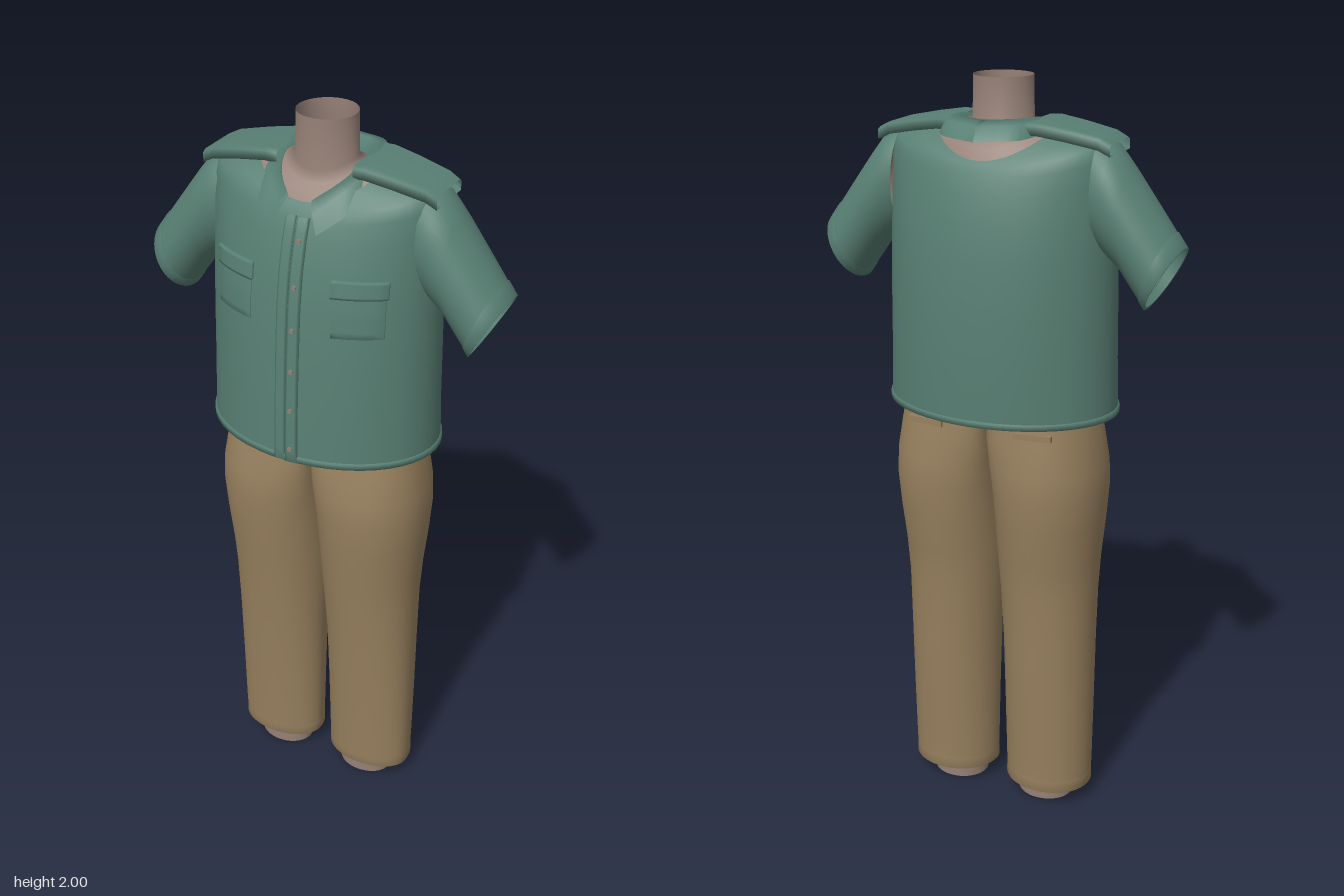
import * as THREE from 'three';

const V = (x, y, z) => new THREE.Vector3(x, y, z);
const lerp = THREE.MathUtils.lerp;
const SEG = 48;

function paint(name, color) {
  const m = new THREE.MeshStandardMaterial({ color, side: THREE.DoubleSide });
  m.name = name;
  return m;
}

// Skin a list of point rows; closed rows wrap around
function loft(rows, closed = true) {
  const n = rows[0].length, pos = [], idx = [];
  rows.forEach(r => r.forEach(p => pos.push(p.x, p.y, p.z)));
  for (let i = 0; i < rows.length - 1; i++) {
    for (let j = 0; j < (closed ? n : n - 1); j++) {
      const k = (j + 1) % n, a = i * n + j, b = i * n + k, c = a + n, d = b + n;
      idx.push(a, c, b, b, c, d);
    }
  }
  const g = new THREE.BufferGeometry();
  g.setAttribute('position', new THREE.Float32BufferAttribute(pos, 3));
  g.setIndex(idx);
  g.computeVertexNormals();
  return g;
}

const ring = fn => Array.from({ length: SEG }, (_, j) => {
  const t = j / SEG * Math.PI * 2;
  return fn(Math.cos(t), Math.sin(t));
});

// Body section: [yFront, yBack, ySide, halfWidth, zFront, zBack]
const bodyRing = ([yf, yb, ys, hx, zf, zb], grow = 0) => ring((c, s) =>
  V(c * (hx + grow), lerp(ys, s > 0 ? yf : yb, s * s), s * ((s > 0 ? zf : -zb) + grow)));

const shirtRings = [
  [1.16, 1.16, 1.16, 0.31, 0.222, -0.222],
  [1.3, 1.3, 1.3, 0.305, 0.217, -0.225],
  [1.45, 1.45, 1.45, 0.303, 0.208, -0.222],
  [1.58, 1.58, 1.58, 0.301, 0.197, -0.213],
  [1.67, 1.67, 1.67, 0.3, 0.182, -0.2],
  [1.74, 1.74, 1.755, 0.299, 0.163, -0.183],
  [1.78, 1.775, 1.82, 0.297, 0.148, -0.17],
  [1.8, 1.795, 1.858, 0.285, 0.137, -0.162],
  [1.81, 1.805, 1.875, 0.23, 0.13, -0.156],
  [1.818, 1.812, 1.887, 0.165, 0.124, -0.15],
];
const skinRings = [
  [1.8, 1.795, 1.87, 0.175, 0.127, -0.153],
  [1.835, 1.838, 1.885, 0.15, 0.108, -0.135],
  [1.85, 1.865, 1.888, 0.105, 0.085, -0.1],
  [1.875, 1.885, 1.895, 0.077, 0.07, -0.077],
  [2, 2, 2, 0.075, 0.07, -0.077],
];

// Height of the shirt front above the plane z = 0
function shirtFront(x, y) {
  let i = 0;
  while (i < shirtRings.length - 2 && shirtRings[i + 1][0] < y) i++;
  const a = shirtRings[i], b = shirtRings[i + 1];
  const t = (y - a[0]) / (b[0] - a[0]);
  const q = x / lerp(a[3], b[3], t);
  return lerp(a[4], b[4], t) * Math.sqrt(Math.max(0, 1 - q * q));
}

// Raised plate following the shirt front
function frontPatch(x0, x1, y0, y1, lift, n = 8) {
  const rows = [];
  for (let i = 0; i <= n + 2; i++) {
    const v = THREE.MathUtils.clamp((i - 1) / n, 0, 1), row = [];
    for (let j = 0; j <= 8; j++) {
      const u = THREE.MathUtils.clamp((j - 1) / 6, 0, 1);
      const edge = i === 0 || j === 0 || i === n + 2 || j === 8;
      const x = lerp(x0, x1, u), y = lerp(y0, y1, v);
      row.push(V(x, y, shirtFront(x, y) + (edge ? -0.003 : lift)));
    }
    rows.push(row);
  }
  return loft(rows, false);
}

// Leg section: [y, xInner, xOuter, zFront, zBack, inner flatness]
const legRings = [
  [1.2, 0, 0.255, 0.125, -0.155, 1], [1.1, 0, 0.275, 0.142, -0.165, 0.95],
  [1.02, 0, 0.288, 0.154, -0.173, 0.75], [0.95, 0, 0.291, 0.156, -0.175, 0.5],
  [0.86, 0, 0.285, 0.148, -0.166, 0.3], [0.75, 0, 0.275, 0.135, -0.15, 0.1],
  [0.65, 0.004, 0.27, 0.122, -0.137, 0], [0.5, 0.013, 0.268, 0.108, -0.133, 0],
  [0.3, 0.017, 0.268, 0.092, -0.122, 0], [0.12, 0.02, 0.267, 0.083, -0.112, 0],
  [0.05, 0.022, 0.265, 0.08, -0.11, 0],
];
const legRing = ([y, xi, xo, zf, zb, flat], side, grow = 0) => ring((c, s) => {
  const p = c < 0 ? lerp(1, 0.2, flat) : 0.9;
  const z = Math.pow(Math.abs(s), p) * ((s > 0 ? zf : -zb) + grow);
  return V(side * ((xi + xo) / 2 + c * ((xo - xi) / 2 + grow)), y, s < 0 ? -z : z);
});

// Sleeve section: [xTop, yTop, xBottom, yBottom, half depth]
const sleeveRings = [
  [0.265, 1.865, 0.27, 1.6, 0.09], [0.3, 1.857, 0.3, 1.575, 0.1],
  [0.345, 1.8, 0.33, 1.55, 0.1], [0.41, 1.712, 0.36, 1.507, 0.098],
  [0.48, 1.615, 0.395, 1.46, 0.097],
];
const sleeveRing = ([xt, yt, xb, yb, h], side, k = 1) => ring((c, s) => V(
  side * ((xt + xb) / 2 + c * k * (xt - xb) / 2),
  (yt + yb) / 2 + c * k * (yt - yb) / 2, -0.012 + s * h * k));

// Collar edges from the back centre to the front tip
const collarEdges = [
  [V(0, 1.865, -0.105), V(0.07, 1.87, -0.08), V(0.092, 1.865, 0), V(0.075, 1.835, 0.068), V(0.028, 1.8, 0.125)],
  [V(0, 1.905, -0.118), V(0.075, 1.908, -0.09), V(0.102, 1.902, 0), V(0.085, 1.872, 0.075), V(0.03, 1.83, 0.135)],
  [V(0, 1.895, -0.158), V(0.096, 1.899, -0.12), V(0.128, 1.897, -0.01), V(0.108, 1.862, 0.09), V(0.042, 1.805, 0.155)],
  [V(0, 1.86, -0.177), V(0.105, 1.866, -0.138), V(0.142, 1.872, -0.01), V(0.125, 1.815, 0.115), V(0.06, 1.762, 0.17)],
];

export function createModel() {
  const model = new THREE.Group();
  const green = paint('shirt green', 0x587f73);
  const tan = paint('trouser tan', 0x98815f);
  const skin = paint('skin brown', 0x968177);
  const add = (name, geometry, material, parent = model) => {
    const mesh = new THREE.Mesh(geometry, material);
    mesh.name = name;
    parent.add(mesh);
    return mesh;
  };

  // Shirt body, hem and neck
  add('shirtBody', loft(shirtRings.map(r => bodyRing(r))), green);
  const hemAt = (y, grow) => bodyRing([y, y, y, 0.31, 0.222, -0.222], grow);
  add('shirtHem', loft([hemAt(1.16, -0.006), hemAt(1.16, 0.004), hemAt(1.174, 0.004), hemAt(1.177, -0.002)]), green);
  add('neck', loft(skinRings.map(r => bodyRing(r))), skin);

  // Button placket in two strips
  add('placketRight', frontPatch(-0.03, -0.003, 1.162, 1.79, 0.005, 20), green);
  add('placketLeft', frontPatch(0.002, 0.032, 1.162, 1.79, 0.009, 20), green);
  for (let i = 0; i < 6; i++) {
    const y = 1.2 + i * 0.108;
    const button = add('button', new THREE.CylinderGeometry(0.006, 0.006, 0.006, 12), skin);
    button.rotation.x = Math.PI / 2;
    button.position.set(0.016, y, shirtFront(0.016, y) + 0.01);
  }

  for (const side of [1, -1]) {
    const half = new THREE.Group();
    half.name = side > 0 ? 'leftSide' : 'rightSide';
    model.add(half);

    // Sleeve with cuff band and arm inside
    add('sleeve', loft(sleeveRings.map(r => sleeveRing(r, side))), green, half);
    const cuffStart = [0.455, 1.65, 0.383, 1.478, 0.0975], cuffEnd = sleeveRings[4];
    add('cuff', loft([sleeveRing(cuffStart, side, 0.98), sleeveRing(cuffStart, side, 1.03),
      sleeveRing(cuffEnd, side, 1.03), sleeveRing(cuffEnd, side, 0.93)]), green, half);
    add('arm', loft([...sleeveRings.slice(1, 4), cuffStart].map(r => sleeveRing(r, side, 0.84))), skin, half);

    // Chest pocket and flap
    const [a, b] = side > 0 ? [0.11, 0.225] : [-0.225, -0.11];
    add('chestPocket', frontPatch(a, b, 1.52, 1.645, 0.005), green, half);
    add('pocketFlap', frontPatch(a - 0.004, b + 0.004, 1.62, 1.662, 0.01), green, half);

    // Collar half
    add('collar', loft(collarEdges.map(e => new THREE.CatmullRomCurve3(
      e.map(p => V(p.x * side, p.y, p.z))).getPoints(24)), false), green, half);

    // Shoulder strap: tapered bent plate
    const strap = [[0.1, 1.902, -0.112, 0.066], [0.13, 1.904, -0.108, 0.068], [0.2, 1.893, -0.098, 0.064],
      [0.28, 1.877, -0.085, 0.058], [0.31, 1.862, -0.08, 0.056]]
      .map(([x, y, z0, z1]) => [V(side * x, y - 0.03, z0), V(side * x, y - 0.006, z0), V(side * x, y, z0 + 0.012),
        V(side * x, y, z1 - 0.012), V(side * x, y - 0.006, z1), V(side * x, y - 0.03, z1)]);
    add('shoulderStrap', loft(strap), green, half);

    // Trouser leg with turned hem and ankle
    add('trouserLeg', loft(legRings.map(r => legRing(r, side))), tan, half);
    const hem = legRings[legRings.length - 1];
    add('trouserHem', loft([legRing([0.085, ...hem.slice(1)], side, 0.001), legRing(hem, side, 0.002),
      legRing(hem, side, -0.008), legRing([0.085, ...hem.slice(1)], side, -0.008)]), tan, half);
    add('ankle', loft([0, 0.2].map(y => legRing([y, 0.056, 0.212, 0.062, -0.072, 0], side))), skin, half);

    // Back welt pocket and slanted front pocket edge
    const welt = add('backPocket', new THREE.BoxGeometry(0.1, 0.016, 0.012), tan, half);
    welt.position.set(side * 0.15, 1.13, -0.156);
    welt.rotation.y = -side * 0.12;
    const edge = new THREE.CatmullRomCurve3([V(side * 0.165, 1.06, 0.142), V(side * 0.18, 1.1, 0.13), V(side * 0.195, 1.15, 0.113)]);
    add('frontPocketEdge', new THREE.TubeGeometry(edge, 8, 0.004, 6), tan, half);
  }
  return model;
}
